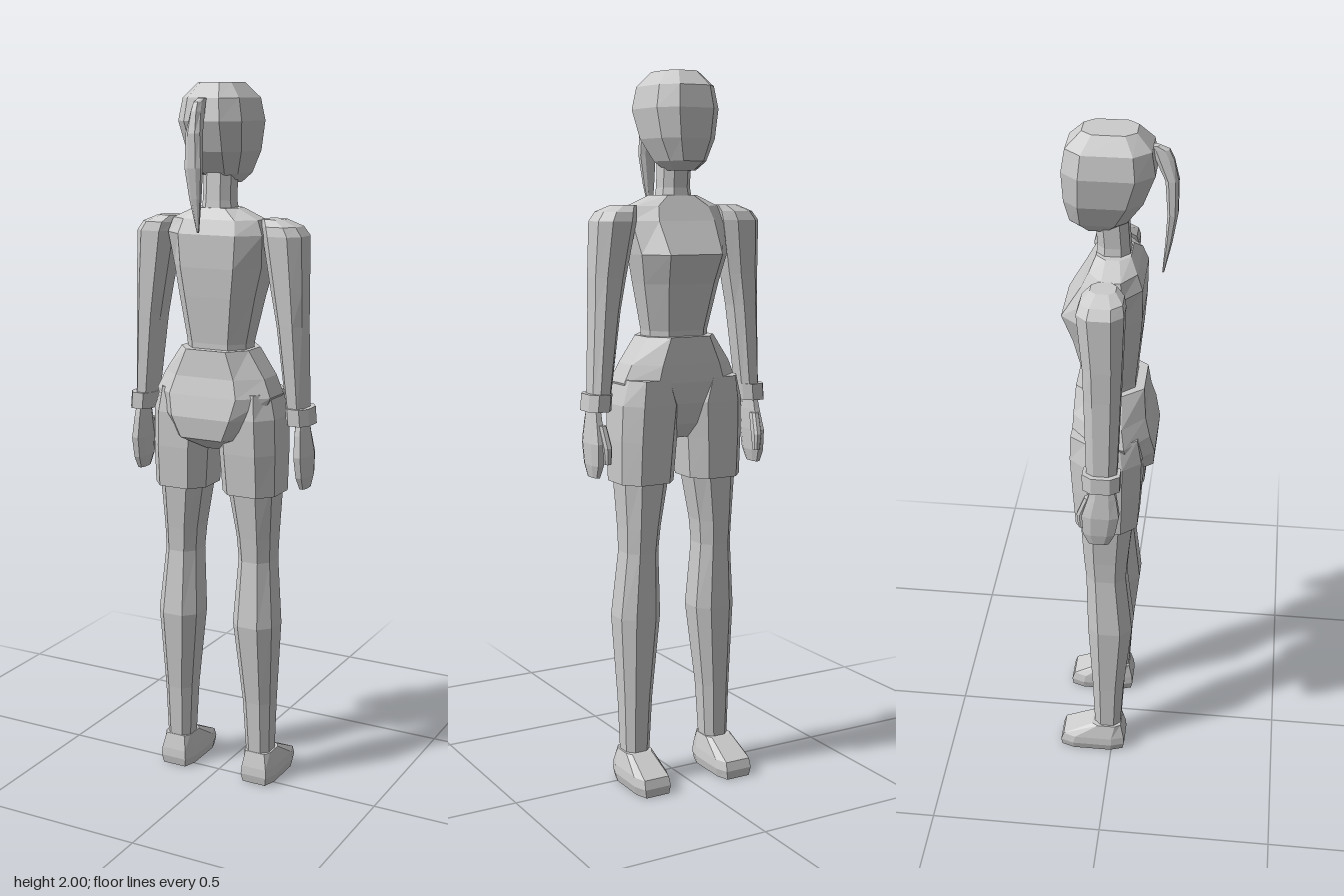
import * as THREE from 'three';

const body = new THREE.MeshStandardMaterial({ color: 0xcccccc });
body.name = 'plain grey';

// Eight-sided loft. Rings run bottom to top as [y, x0, x1, z0, z1];
// fx and fz are the flat share of each side between the cut corners.
function loft(name, rings, fx = 0.5, fz = 0.5) {
  const loops = rings.map(([y, x0, x1, z0, z1]) => {
    const cx = (x0 + x1) / 2, cz = (z0 + z1) / 2, w = (x1 - x0) / 2, d = (z1 - z0) / 2;
    return [[1, fz], [1, -fz], [fx, -1], [-fx, -1], [-1, -fz], [-1, fz], [-fx, 1], [fx, 1]]
      .map(([u, v]) => new THREE.Vector3(cx + u * w, y, cz + v * d));
  });
  const pts = [];
  const n = 8;
  for (let k = 0; k + 1 < loops.length; k++) {
    const a = loops[k], b = loops[k + 1];
    for (let i = 0; i < n; i++) {
      const j = (i + 1) % n;
      pts.push(a[i], a[j], b[j], a[i], b[j], b[i]);
    }
  }
  const low = loops[0], high = loops[loops.length - 1];
  for (let i = 1; i + 1 < n; i++) {
    pts.push(low[0], low[i + 1], low[i], high[0], high[i], high[i + 1]);
  }
  const geo = new THREE.BufferGeometry().setFromPoints(pts);
  geo.computeVertexNormals(); // unshared corners give flat facets
  const mesh = new THREE.Mesh(geo, body);
  mesh.name = name;
  return mesh;
}

// Ring centred on x = 0
const mid = (y, w, z0, z1) => [y, -w, w, z0, z1];

export function createModel() {
  const model = new THREE.Group();
  model.name = 'standing woman';

  // Head, neck and ponytail
  model.add(loft('head', [
    mid(1.735, 0.035, -0.085, -0.01),
    mid(1.76, 0.057, -0.118, 0.028),
    mid(1.82, 0.083, -0.131, 0.07),
    mid(1.9, 0.096, -0.135, 0.1),
    mid(1.96, 0.085, -0.125, 0.09),
    mid(2.0, 0.05, -0.085, 0.052),
  ], 0.55, 0.6));
  model.add(loft('neck', [
    mid(1.64, 0.05, -0.055, 0.04),
    mid(1.69, 0.042, -0.048, 0.035),
    mid(1.77, 0.042, -0.055, 0.03),
  ]));
  model.add(loft('ponytail', [
    mid(1.61, 0.003, 0.117, 0.122),
    mid(1.7, 0.016, 0.124, 0.142),
    mid(1.78, 0.024, 0.128, 0.155),
    mid(1.87, 0.021, 0.121, 0.155),
    mid(1.925, 0.015, 0.095, 0.142),
    mid(1.95, 0.012, 0.085, 0.13),
    mid(1.96, 0.01, 0.08, 0.105),
  ]));

  // Torso and hips
  model.add(loft('torso', [
    mid(1.25, 0.09, -0.08, 0.055),
    mid(1.3, 0.092, -0.08, 0.055),
    mid(1.43, 0.118, -0.11, 0.068),
    mid(1.51, 0.135, -0.138, 0.074),
    mid(1.6, 0.145, -0.085, 0.075),
    mid(1.64, 0.13, -0.065, 0.06),
    mid(1.67, 0.065, -0.05, 0.04),
  ], 0.6, 0.4));
  model.add(loft('hips', [
    mid(1.0, 0.03, -0.06, 0.04),
    mid(1.04, 0.11, -0.085, 0.108),
    mid(1.1, 0.155, -0.105, 0.113),
    mid(1.16, 0.178, -0.112, 0.1),
    mid(1.21, 0.155, -0.11, 0.087),
    mid(1.285, 0.105, -0.105, 0.08),
  ], 0.58, 0.4));

  for (const s of [1, -1]) {
    const side = s > 0 ? 'left' : 'right';
    const add = (part, rings, fx, fz) => model.add(loft(side + part,
      s > 0 ? rings : rings.map(([y, a, b, c, d]) => [y, -b, -a, c, d]), fx, fz));

    // Legs
    add('ShortsLeg', [
      [0.88, 0.027, 0.19, -0.1, 0.072],
      [1.0, 0.018, 0.192, -0.108, 0.08],
      [1.1, 0.01, 0.19, -0.114, 0.082],
      [1.17, 0.04, 0.172, -0.112, 0.07],
    ], 0.55, 0.5);
    add('Leg', [
      [0.07, 0.095, 0.168, -0.052, 0.025],
      [0.25, 0.085, 0.173, -0.058, 0.035],
      [0.49, 0.06, 0.184, -0.07, 0.06],
      [0.68, 0.07, 0.168, -0.074, 0.04],
      [0.75, 0.064, 0.17, -0.08, 0.045],
      [0.92, 0.035, 0.18, -0.09, 0.062],
    ]);
    add('Foot', [
      [0, 0.085, 0.182, -0.155, 0.035],
      [0.025, 0.08, 0.188, -0.158, 0.04],
      [0.05, 0.083, 0.186, -0.15, 0.038],
      [0.095, 0.092, 0.174, -0.06, 0.028],
    ], 0.75, 0.6);

    // Arms
    add('Arm', [
      [1.1, 0.215, 0.268, -0.055, 0.025],
      [1.36, 0.182, 0.259, -0.062, 0.034],
      [1.45, 0.165, 0.258, -0.065, 0.037],
      [1.6, 0.138, 0.253, -0.08, 0.041],
      [1.625, 0.135, 0.235, -0.072, 0.036],
      [1.643, 0.13, 0.192, -0.05, 0.015],
    ]);
    add('Cuff', [
      [1.088, 0.214, 0.284, -0.066, 0.035],
      [1.135, 0.21, 0.28, -0.066, 0.035],
    ]);

    // Hands
    add('Hand', [
      [0.905, 0.25, 0.27, -0.05, 0.005],
      [0.94, 0.242, 0.276, -0.065, 0.022],
      [1.0, 0.238, 0.278, -0.068, 0.033],
      [1.06, 0.238, 0.272, -0.05, 0.025],
      [1.1, 0.24, 0.268, -0.04, 0.015],
    ]);
    add('Thumb', [
      [0.945, 0.232, 0.25, -0.08, -0.058],
      [0.99, 0.23, 0.254, -0.084, -0.05],
      [1.05, 0.236, 0.258, -0.062, -0.03],
    ]);
  }
  return model;
}
